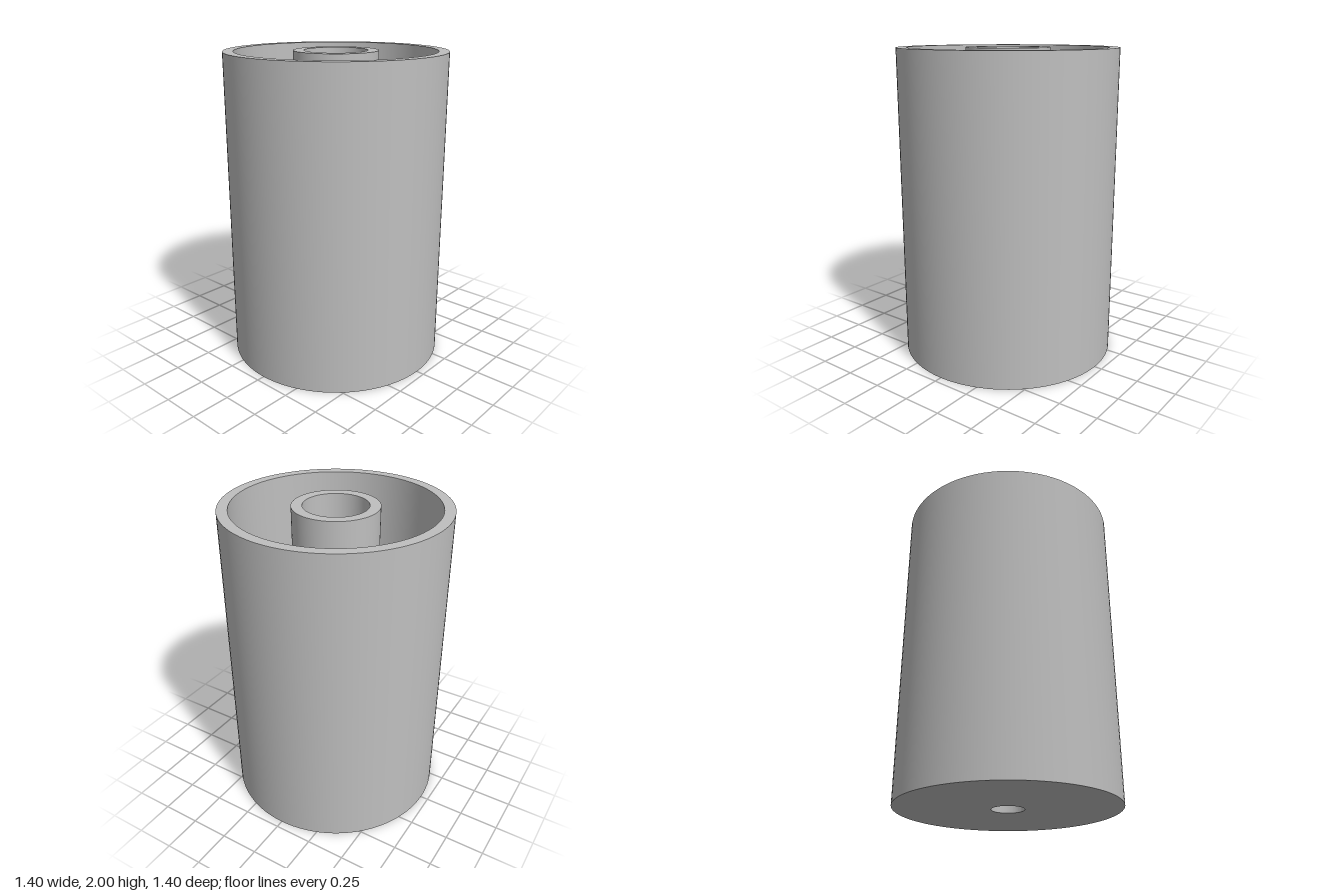
import * as THREE from 'three';
import { toCreasedNormals } from 'three/addons/utils/BufferGeometryUtils.js';

const HEIGHT = 2;
const FLOOR = 0.1; // thickness of the closed bottom
const R = { outer: 0.7, cavity: 0.633, tube: 0.267, bore: 0.2, hole: 0.103 };

export function createModel() {
  const model = new THREE.Group();
  const grey = new THREE.MeshStandardMaterial({ color: 0xbfbfbf });
  grey.name = 'grey';

  // Revolves a profile; the solid lies to the left of the path
  function turned(name, profile) {
    const points = profile.map(([r, y]) => new THREE.Vector2(r, y));
    const geometry = toCreasedNormals(new THREE.LatheGeometry(points, 96), Math.PI / 6);
    const mesh = new THREE.Mesh(geometry, grey);
    mesh.name = name;
    model.add(mesh);
  }

  // Outer wall with its flat rim
  turned('outerWall', [[R.outer, 0], [R.outer, HEIGHT], [R.cavity, HEIGHT], [R.cavity, FLOOR]]);

  // Floor of the ring-shaped cavity
  turned('cavityFloor', [[R.cavity, FLOOR], [R.tube, FLOOR]]);

  // Central tube, level with the rim
  turned('centreTube', [[R.tube, FLOOR], [R.tube, HEIGHT], [R.bore, HEIGHT], [R.bore, FLOOR]]);

  // Ledge inside the tube, through hole and underside
  turned('base', [[R.bore, FLOOR], [R.hole, FLOOR], [R.hole, 0], [R.outer, 0]]);

  return model;
}
